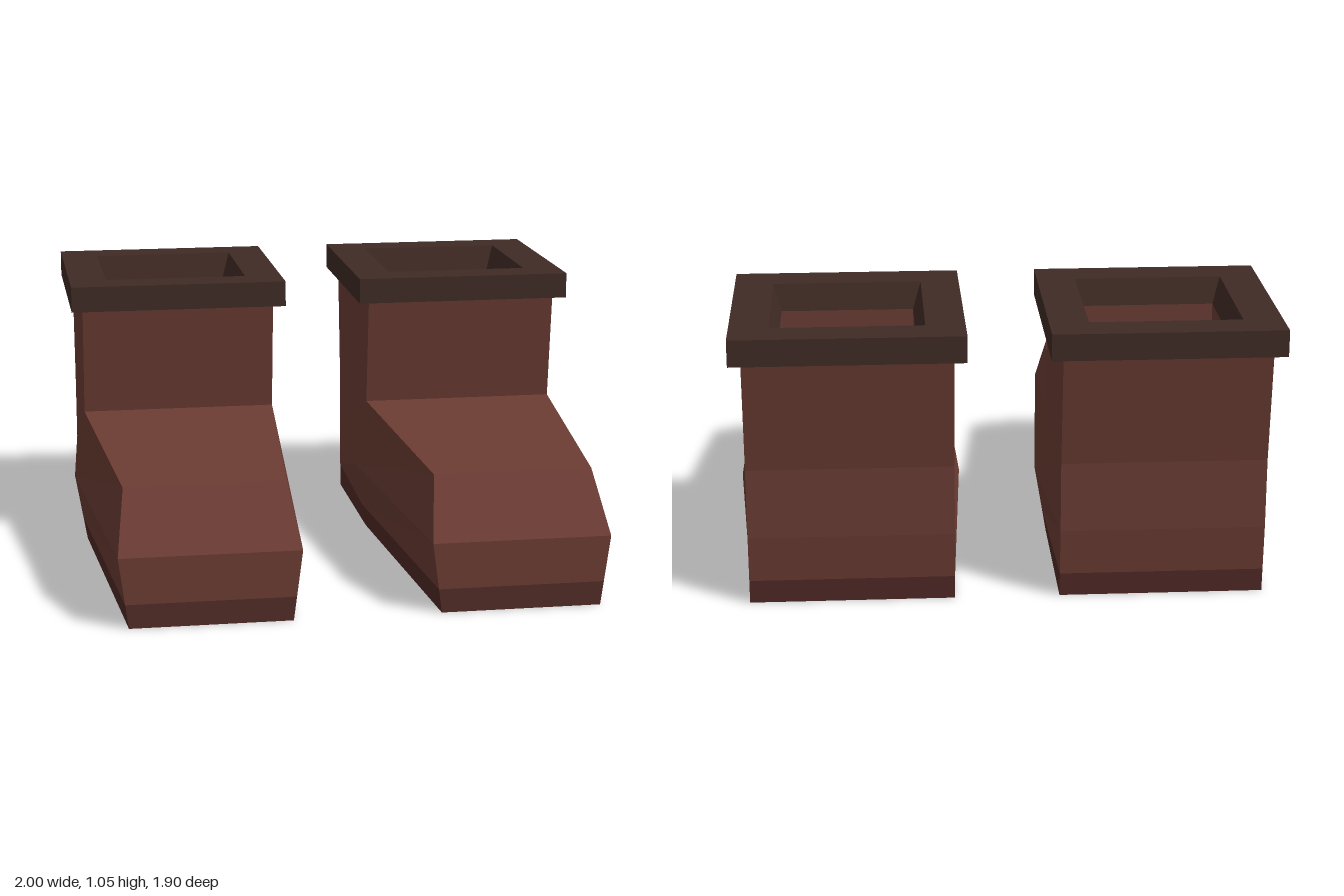
import * as THREE from 'three';

const leather = new THREE.MeshStandardMaterial({ color: 0x6b3c33, flatShading: true });
const darkTrim = new THREE.MeshStandardMaterial({ color: 0x402b25, flatShading: true });
const soleColor = new THREE.MeshStandardMaterial({ color: 0x522b27, flatShading: true });

// Six-cornered foot section: half widths and z at heel, instep and toe
function footRing(y, heelZ, heelW, instepW, toeZ, toeW, toeY = y) {
  const left = [[-heelW, y, heelZ], [-instepW, y, -0.2], [-toeW, toeY, toeZ]];
  const right = left.map(([x, py, z]) => [-x, py, z]).reverse();
  return [...left, ...right];
}

// Four-cornered section
function rectRing(y, w, back, front) {
  return [[-w, y, back], [-w, y, front], [w, y, front], [w, y, back]];
}

// Joins successive rings with quads; caps are extra polygons
function loft(name, material, rings, caps = []) {
  const pos = [];
  const polygon = (p) => {
    for (let i = 1; i < p.length - 1; i++) pos.push(...p[0], ...p[i], ...p[i + 1]);
  };
  for (let r = 0; r < rings.length - 1; r++) {
    const a = rings[r], b = rings[r + 1], n = a.length;
    for (let i = 0; i < n; i++) {
      const j = (i + 1) % n;
      polygon([a[i], a[j], b[j], b[i]]);
    }
  }
  caps.forEach(polygon);
  const geometry = new THREE.BufferGeometry();
  geometry.setAttribute('position', new THREE.Float32BufferAttribute(pos, 3));
  geometry.computeVertexNormals();
  const mesh = new THREE.Mesh(geometry, material);
  mesh.name = name;
  return mesh;
}

function createBoot(name) {
  const boot = new THREE.Group();
  boot.name = name;

  const ground = footRing(0, -0.84, 0.38, 0.38, 0.95, 0.3);
  const soleTop = footRing(0.09, -0.847, 0.38, 0.395, 0.95, 0.312);
  const widest = footRing(0.265, -0.86, 0.38, 0.425, 0.95, 0.335);
  const footTop = footRing(0.53, -0.86, 0.38, 0.38, 0.78, 0.3, 0.48);
  const ankleTop = rectRing(0.955, 0.38, -0.91, -0.15);

  // Sole and foot, with the instep as a sloping top
  boot.add(loft('sole', soleColor, [ground, soleTop], [[...ground].reverse()]));
  boot.add(loft('foot', leather, [soleTop, widest, footTop], [footTop.slice(1, 5)]));

  // Ankle rising from the rear of the foot
  const ankleBase = [footTop[0], footTop[1], footTop[4], footTop[5]];
  boot.add(loft('ankle', leather, [ankleBase, ankleTop]));

  // Collar with a bevelled opening
  const mouth = rectRing(0.955, 0.25, -0.78, -0.28);
  boot.add(loft('collar', darkTrim, [
    ankleTop,
    rectRing(0.955, 0.425, -0.95, -0.105),
    rectRing(1.055, 0.425, -0.95, -0.105),
    rectRing(1.055, 0.28, -0.81, -0.25),
    mouth,
  ]));

  // Inner shaft and its floor
  const floor = rectRing(0.8, 0.25, -0.78, -0.28);
  boot.add(loft('lining', leather, [mouth, floor], [floor]));
  return boot;
}

export function createModel() {
  const model = new THREE.Group();
  model.name = 'boots';
  for (const [name, side] of [['leftBoot', 1], ['rightBoot', -1]]) {
    const boot = createBoot(name);
    boot.position.x = side * 0.575;
    model.add(boot);
  }
  return model;
}
